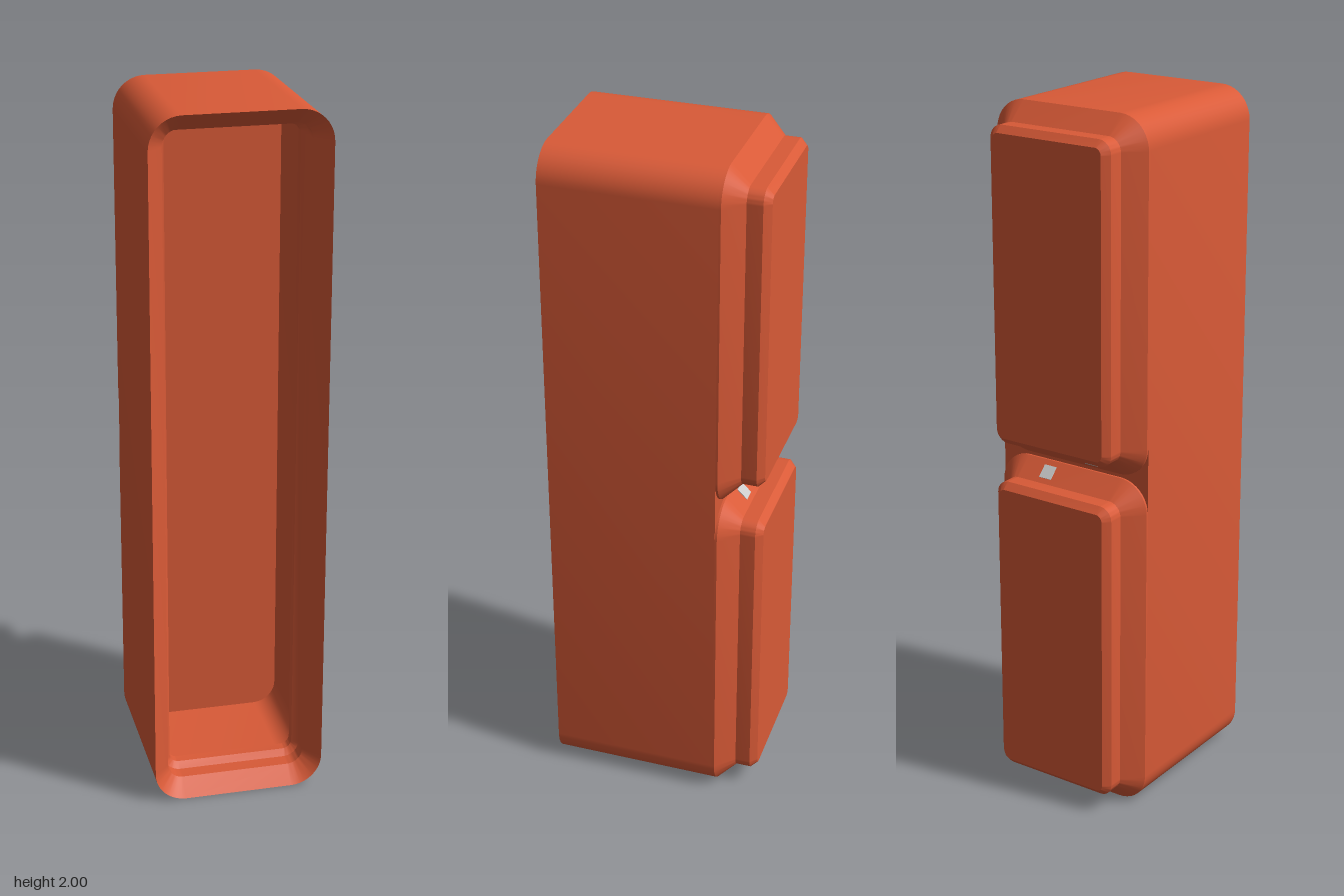
import * as THREE from 'three';
import { toCreasedNormals } from 'three/addons/utils/BufferGeometryUtils.js';

const HALF_W = 0.2455, RADIUS = 0.09, CORNER_STEPS = 10;

// Rounded rectangle in the xy plane, inset from its nominal outline
function ring(halfW, halfH, inset, z) {
  const r = Math.max(RADIUS - inset, 0.004);
  const cx = halfW - inset - r, cy = halfH - inset - r;
  const points = [];
  [[1, 1], [-1, 1], [-1, -1], [1, -1]].forEach(([sx, sy], q) => {
    for (let i = 0; i <= CORNER_STEPS; i++) {
      const a = (q + i / CORNER_STEPS) * Math.PI / 2;
      points.push(new THREE.Vector3(sx * cx + r * Math.cos(a), sy * cy + r * Math.sin(a), z));
    }
  });
  return points;
}

// Skin a list of [inset, z] steps, closing both ends with flat caps
function loft(halfW, halfH, steps) {
  const rings = steps.map(([inset, z]) => ring(halfW, halfH, inset, z));
  const n = rings[0].length;
  const cap = (z) => Array.from({ length: n }, () => new THREE.Vector3(0, 0, z));
  rings.unshift(cap(steps[0][1]));
  rings.push(cap(steps[steps.length - 1][1]));
  const pos = [];
  const tri = (a, b, c) => {
    if (a.equals(b) || b.equals(c) || c.equals(a)) return;
    for (const p of [a, b, c]) pos.push(p.x, p.y, p.z);
  };
  for (let k = 0; k < rings.length - 1; k++) {
    for (let j = 0; j < n; j++) {
      const i = (j + 1) % n, A = rings[k], B = rings[k + 1];
      tri(A[j], A[i], B[i]);
      tri(A[j], B[i], B[j]);
    }
  }
  const g = new THREE.BufferGeometry();
  g.setAttribute('position', new THREE.Float32BufferAttribute(pos, 3));
  return toCreasedNormals(g, 0.5);
}

export function createModel() {
  const group = new THREE.Group();
  const orange = new THREE.MeshStandardMaterial({ color: 0xd95a37 });
  const grey = new THREE.MeshStandardMaterial({ color: 0xcccccc });
  const add = (name, geometry, material, x, y, z) => {
    const mesh = new THREE.Mesh(geometry, material);
    mesh.name = name;
    mesh.position.set(x, y, z);
    group.add(mesh);
    return mesh;
  };

  // Hollow bin: outer wall, stepped stacking lip, inner wall, floor
  add('bin', loft(HALF_W, 1, [
    [0, -0.183], [0, 0.303],
    [0.0455, 0.2575], [0.0455, 0.2145], [0.062, 0.198],
    [0.062, 0.17], [0.023, 0.131], [0.023, -0.15],
  ]), orange, 0, 1, 0);

  // Two stepped feet on the back, with a small grey patch on each facing chamfer
  const footHalf = 0.497;
  const footGeometry = loft(HALF_W, footHalf, [
    [0.0705, -0.303], [0.0515, -0.284], [0.0515, -0.2405], [0, -0.189], [0, -0.182],
  ]);
  for (const s of [-1, 1]) {
    const y = 1 + s * (1 - footHalf);
    add(s < 0 ? 'lowerFoot' : 'upperFoot', footGeometry, orange, 0, y, 0);
    const patch = add(s < 0 ? 'lowerPatch' : 'upperPatch',
      new THREE.BoxGeometry(0.04, 0.04, 0.004), grey, -s * 0.07, 1 + s * 0.032, -0.215);
    patch.rotation.x = -s * Math.PI / 4;
  }
  return group;
}
